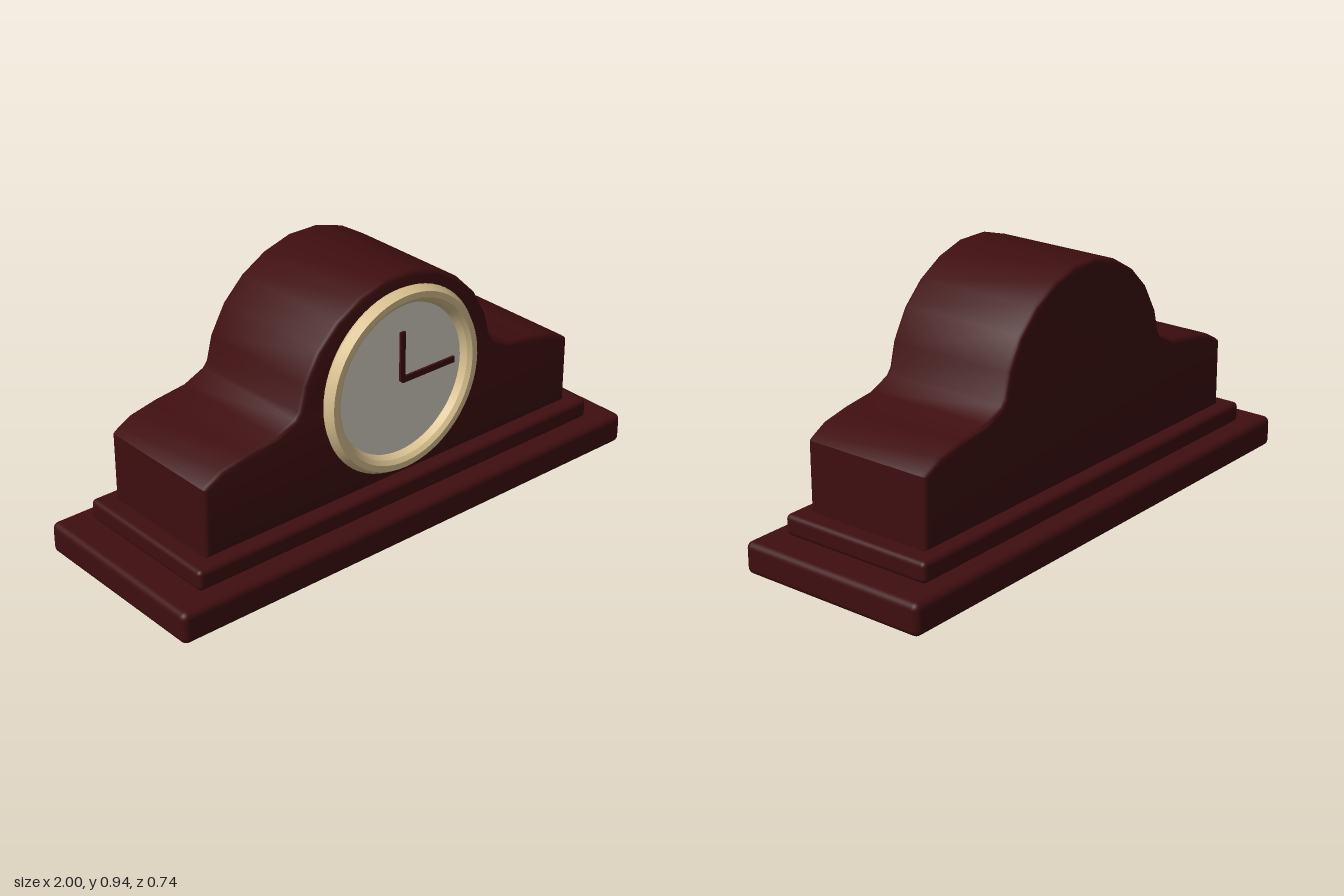
import * as THREE from 'three';
import { toCreasedNormals } from 'three/addons/utils/BufferGeometryUtils.js';
import { RoundedBoxGeometry } from 'three/addons/geometries/RoundedBoxGeometry.js';

const material = (name, color) => {
  const m = new THREE.MeshStandardMaterial({ color });
  m.name = name;
  return m;
};

export function createModel() {
  const clock = new THREE.Group();
  clock.name = 'mantelClock';
  const wood = material('dark mahogany', 0x3f0e0f);
  const brass = material('pale brass', 0xdfc694);
  const ivory = material('ivory dial', 0xdcd8cc);

  const add = (name, geometry, mat, x = 0, y = 0, z = 0) => {
    const mesh = new THREE.Mesh(geometry, mat);
    mesh.name = name;
    mesh.position.set(x, y, z);
    clock.add(mesh);
    return mesh;
  };

  // Stepped plinth
  add('lowerPlinth', new RoundedBoxGeometry(2, 0.115, 0.74, 3, 0.024), wood, 0, 0.0575);
  add('upperPlinth', new RoundedBoxGeometry(1.765, 0.075, 0.6, 3, 0.018), wood, 0, 0.1525);

  // Arched case: right half of the outline, mirrored
  const half = [
    [0.815, 0.188], [0.815, 0.44], [0.797, 0.453], [0.742, 0.483], [0.64, 0.505],
    [0.52, 0.521], [0.442, 0.556], [0.425, 0.578], [0.403, 0.665], [0.345, 0.767],
    [0.265, 0.846], [0.168, 0.903], [0.06, 0.935],
  ];
  const outline = [...half, ...half.slice().reverse().map(([x, y]) => [-x, y])];
  const bevel = 0.016;
  const caseGeometry = new THREE.ExtrudeGeometry(
    new THREE.Shape(outline.map(([x, y]) => new THREE.Vector2(x, y))),
    {
      depth: 0.5 - 2 * bevel, steps: 1, bevelEnabled: true, bevelThickness: bevel,
      bevelSize: bevel, bevelOffset: -bevel, bevelSegments: 3,
    });
  caseGeometry.translate(0, 0, -0.25 + bevel);
  add('archedCase', toCreasedNormals(caseGeometry, 0.65), wood);

  // Bezel ring, turned about the dial axis
  const dialY = 0.558;
  const bezelProfile = [
    [0.326, 0.245], [0.337, 0.265], [0.32, 0.293], [0.298, 0.293], [0.283, 0.282], [0.27, 0.255],
  ].map(([r, z]) => new THREE.Vector2(r, z));
  const bezelGeometry = new THREE.LatheGeometry(bezelProfile, 64);
  bezelGeometry.rotateX(Math.PI / 2);
  add('bezel', toCreasedNormals(bezelGeometry, 0.4), brass, 0, dialY);

  // Dial and hands
  add('dial', new THREE.CircleGeometry(0.275, 64), ivory, 0, dialY, 0.258);
  add('minuteHand', new THREE.BoxGeometry(0.02, 0.18, 0.009), wood, 0, dialY + 0.087, 0.266);
  add('hourHand', new THREE.BoxGeometry(0.235, 0.022, 0.009), wood, 0.1175, dialY, 0.266);

  return clock;
}
